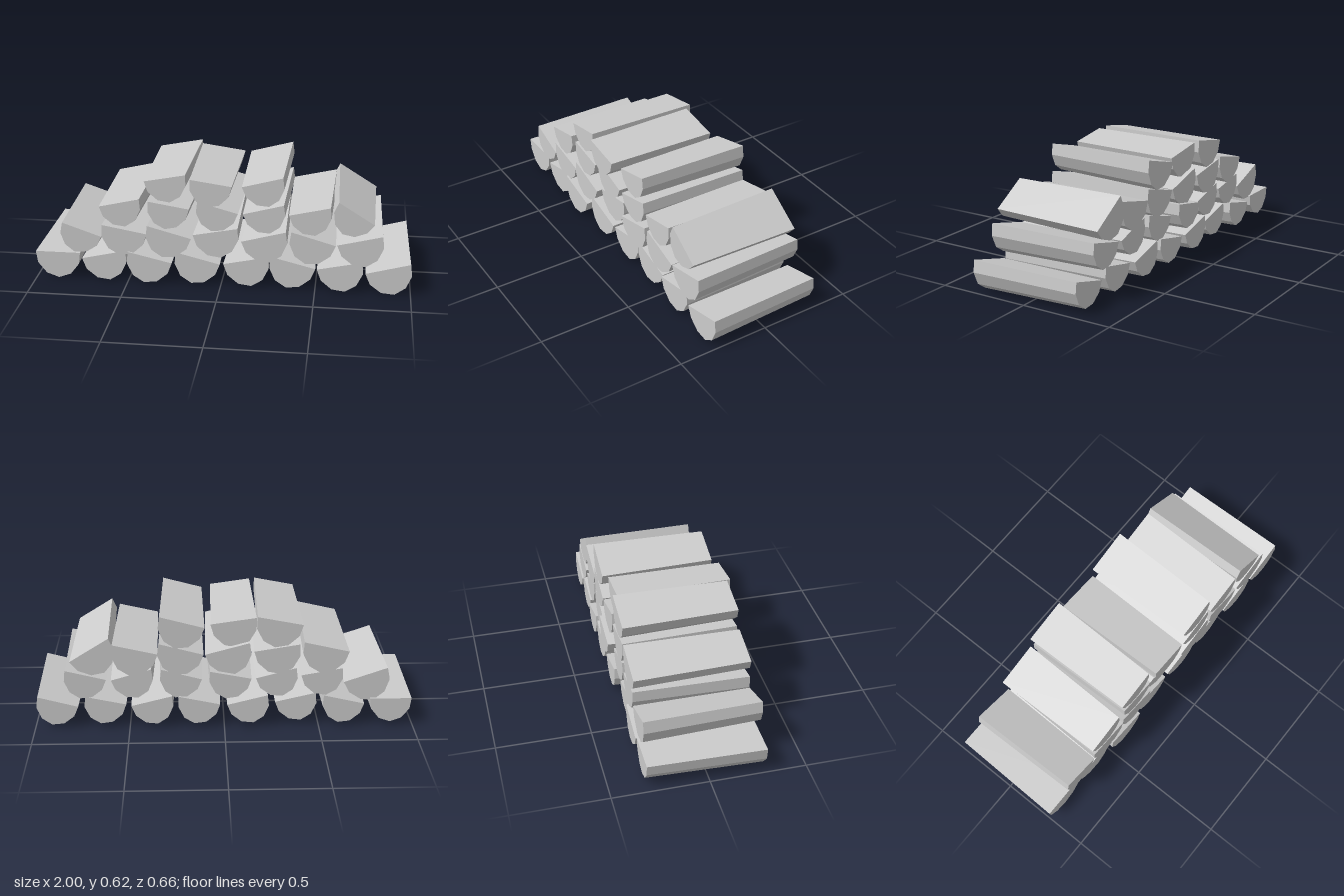
import * as THREE from 'three';

const LENGTH = 0.61;

// Half-round log with its flat face up at y = 0, narrowing towards -z
function makeLogGeometry() {
  const half = [[0.121, 0], [0.112, -0.065], [0.066, -0.124], [0, -0.148]];
  const left = half.slice(0, 3).reverse().map(([x, y]) => [-x, y]);
  const shape = new THREE.Shape([...half, ...left].reverse().map(([x, y]) => new THREE.Vector2(x, y)));
  const geometry = new THREE.ExtrudeGeometry(shape, { depth: LENGTH, bevelEnabled: false });
  geometry.translate(0, 0, -LENGTH / 2);
  const p = geometry.attributes.position;
  for (let i = 0; i < p.count; i++) {
    if (p.getZ(i) < 0) p.setXY(i, p.getX(i) * 0.91, p.getY(i) * 0.91 + 0.005);
  }
  geometry.computeVertexNormals();
  return geometry;
}

// Per log: x, y of the flat face, tilt in degrees, z offset, thick end at the back
const ROWS = {
  bottomLog: [
    [-0.88, 0.155, 0, -0.013], [-0.631, 0.152, 13, -0.013], [-0.377, 0.157, -13, 0.01],
    [-0.123, 0.155, -14, -0.013], [0.131, 0.155, 12, -0.013], [0.382, 0.155, -14, -0.013],
    [0.626, 0.155, 12, 0], [0.878, 0.15, 15, 0],
  ],
  secondLog: [
    [-0.743, 0.291, -19, 0, true], [-0.513, 0.307, -10, 0], [-0.273, 0.302, -15, 0],
    [-0.032, 0.305, 11, -0.027], [0.225, 0.3, 15, 0], [0.487, 0.301, -16, 0], [0.727, 0.301, 14, 0],
  ],
  thirdLog: [
    [-0.535, 0.452, 13, 0, true], [-0.275, 0.449, -9, 0, true], [-0.016, 0.447, -15, 0, true],
    [0.225, 0.447, 15, 0, true], [0.465, 0.447, 13, 0, true], [0.703, 0.447, -32, 0, true],
  ],
  topLog: [
    [-0.291, 0.599, 11, 0, true], [-0.048, 0.591, -8, 0.026, true], [0.219, 0.596, 15, 0, true],
  ],
};

export function createModel() {
  const group = new THREE.Group();
  group.name = 'logPile';
  const geometry = makeLogGeometry();
  const material = new THREE.MeshStandardMaterial({ color: 0xcccccc, flatShading: true });
  for (const [name, logs] of Object.entries(ROWS)) {
    logs.forEach(([x, y, tilt, z, turned], i) => {
      const log = new THREE.Mesh(geometry, material);
      log.name = `${name}${i + 1}`;
      log.position.set(x, y - 0.003, z);
      // Turn end for end first, then tilt
      log.rotation.set(0, turned ? Math.PI : 0, THREE.MathUtils.degToRad(tilt), 'ZYX');
      group.add(log);
    });
  }
  return group;
}
